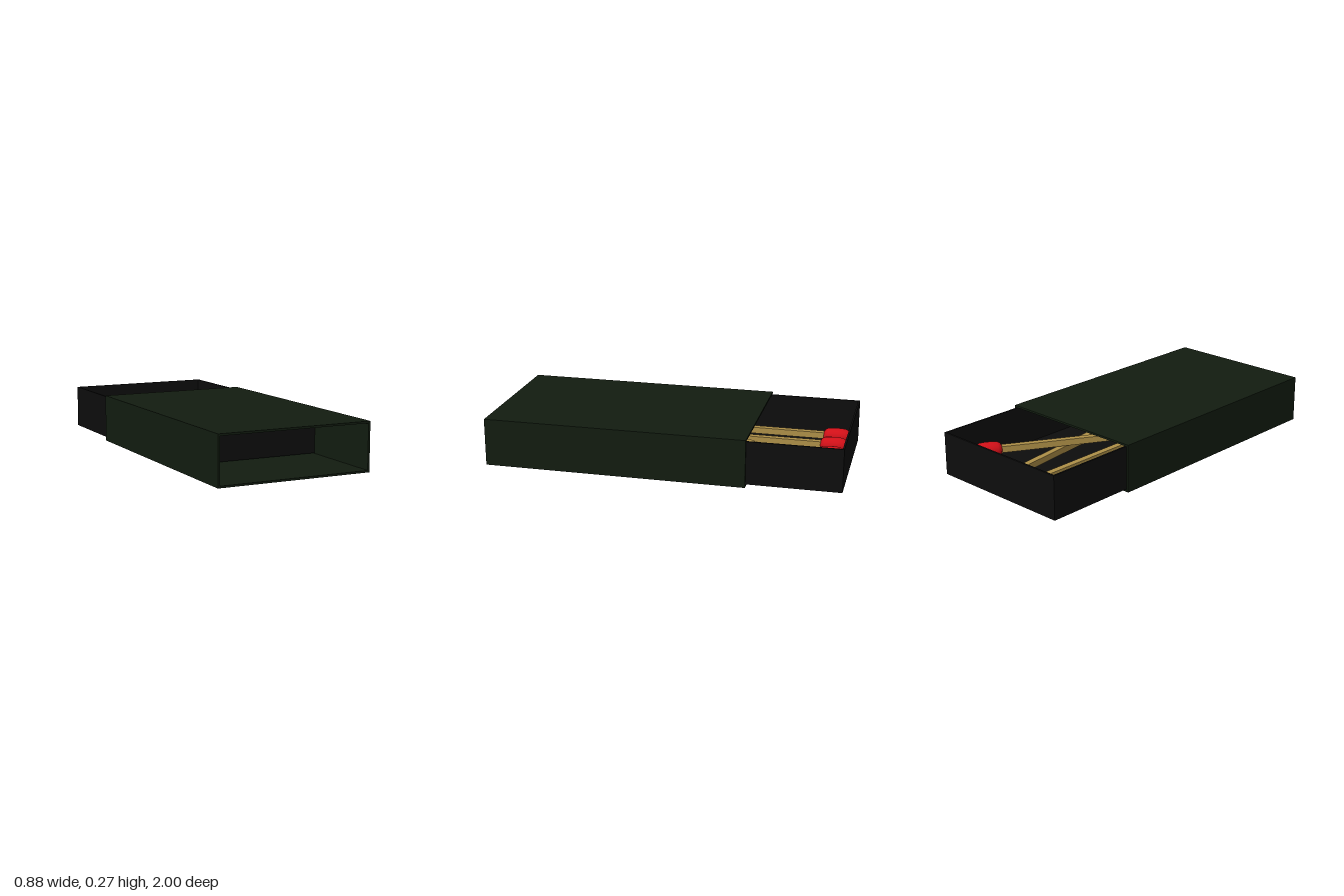
import * as THREE from 'three';

const mat = (color, side = THREE.FrontSide) => new THREE.MeshStandardMaterial({ color, side });

// Rectangular tube with its opening along z, from z = 0 to z = depth
function tube(w, h, t, depth) {
  const rect = (C, a, b) => new C([
    new THREE.Vector2(-a, -b), new THREE.Vector2(a, -b),
    new THREE.Vector2(a, b), new THREE.Vector2(-a, b),
  ]);
  const shape = rect(THREE.Shape, w / 2, h / 2);
  shape.holes.push(rect(THREE.Path, w / 2 - t, h / 2 - t));
  return new THREE.ExtrudeGeometry(shape, { depth, bevelEnabled: false });
}

function part(parent, name, geometry, material, x = 0, y = 0, z = 0) {
  const mesh = new THREE.Mesh(geometry, material);
  mesh.name = name;
  mesh.position.set(x, y, z);
  parent.add(mesh);
  return mesh;
}

export function createModel() {
  const model = new THREE.Group();
  model.name = 'matchbox';
  const green = mat(0x121c10), black = mat(0x0d0d0d);
  const wood = mat(0xae9048), red = mat(0xd01018);

  // Outer sleeve, open at both ends
  part(model, 'sleeve', tube(0.88, 0.27, 0.011, 1.48), green, 0, 0.135, -0.48);

  // Sliding tray: a ring of four walls and a floor
  const tray = new THREE.Group();
  tray.name = 'tray';
  model.add(tray);
  const walls = tube(0.85, 1.48, 0.01, 0.244).rotateX(-Math.PI / 2);
  part(tray, 'trayWalls', walls, black, 0, 0.015, -0.26);
  part(tray, 'trayFloor', new THREE.BoxGeometry(0.84, 0.012, 1.47), black, 0, 0.022, -0.26);

  // Match: rounded head at the origin, stick running along +z
  const profile = [
    [0, -0.08], [0.016, -0.08], [0.033, -0.072], [0.042, -0.055], [0.045, -0.02],
    [0.045, 0.02], [0.042, 0.045], [0.033, 0.067], [0.018, 0.08], [0, 0.084],
  ].map(([r, y]) => new THREE.Vector2(r, y));
  const headGeo = new THREE.LatheGeometry(profile, 20).rotateX(-Math.PI / 2);
  const stickGeo = new THREE.BoxGeometry(0.036, 0.036, 1.2).translate(0, 0, 0.6);

  // Head position and turn of each match; the last lies across the others
  const matches = [
    [-0.27, 0.085, -0.893, 0],
    [-0.113, 0.085, -0.893, 0],
    [0.043, 0.085, -0.89, 0.125],
    [0.31, 0.128, -0.803, -0.53],
  ];
  for (const [x, y, z, turn] of matches) {
    const match = new THREE.Group();
    match.name = 'match';
    match.position.set(x, y, z);
    match.rotation.y = turn;
    part(match, 'matchStick', stickGeo, wood);
    part(match, 'matchHead', headGeo, red);
    model.add(match);
  }
  return model;
}
